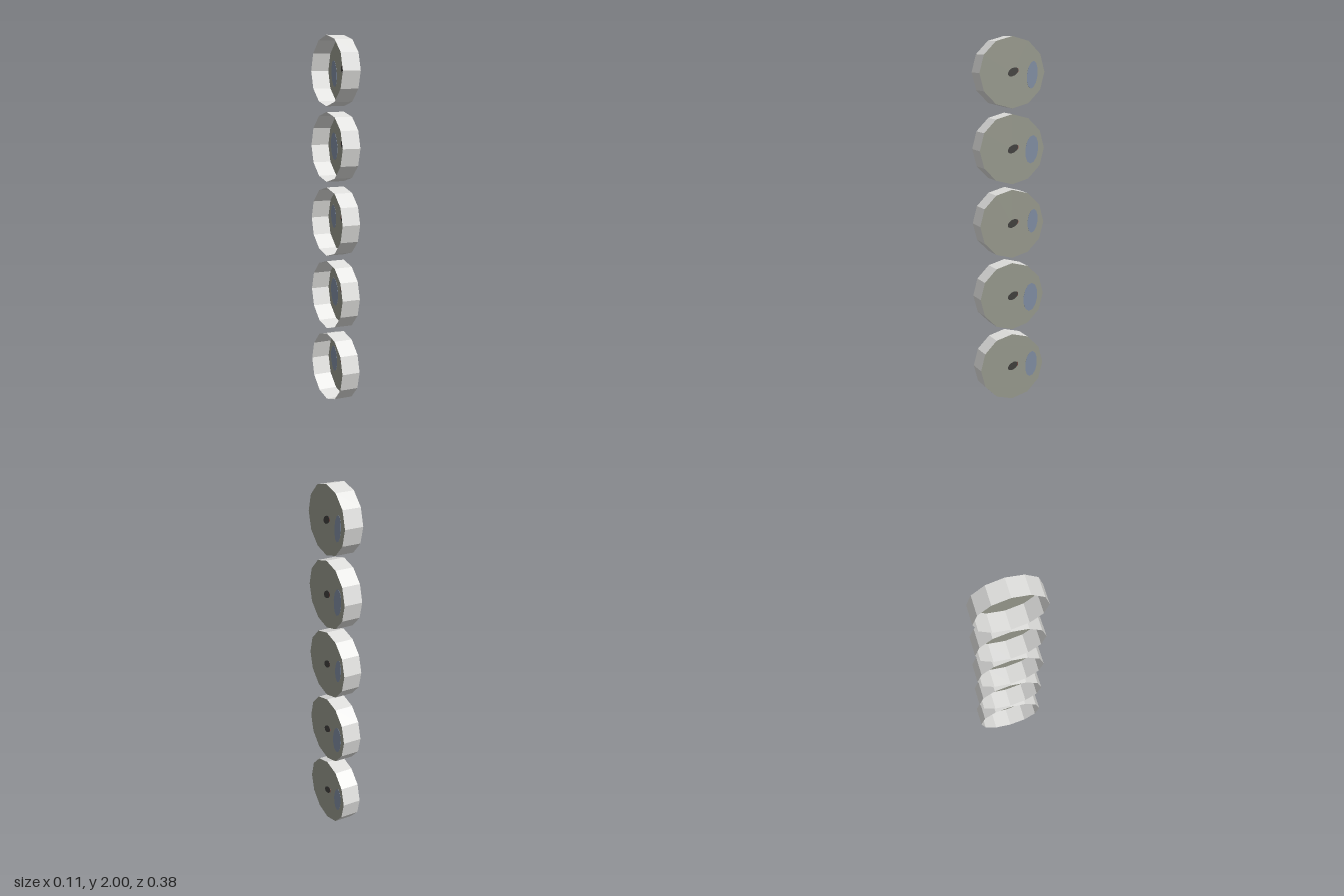
import * as THREE from 'three';

const R = 0.188, HALF = 0.0525, SPACING = 0.406;

function material(name, color) {
  const m = new THREE.MeshStandardMaterial({ color, flatShading: true, side: THREE.DoubleSide });
  m.name = name;
  return m;
}

export function createModel() {
  const wallMat = material('paleGrey', 0xdededc);
  const faceMat = material('greyGreen', 0x94968a);
  const blueMat = material('dustyBlue', 0x7d8a9f);
  const darkMat = material('charcoal', 0x3e3d3b);
  const redMat = material('dullRed', 0x8a4a44);

  const model = new THREE.Group();
  model.name = 'drumColumn';

  // Open twelve-sided rim and the flat face closing its +x end
  const rimGeo = new THREE.CylinderGeometry(R, R, HALF * 2, 12, 1, true).rotateZ(Math.PI / 2);
  const faceGeo = new THREE.CircleGeometry(R, 12).rotateY(Math.PI / 2).translate(HALF, 0, 0);

  function add(parent, name, geo, mat) {
    const mesh = new THREE.Mesh(geo, mat);
    mesh.name = name;
    parent.add(mesh);
    return mesh;
  }

  // Thin oval mark showing on both sides of the face
  function oval(parent, name, mat, y, z, halfY, halfZ, tilt, thick) {
    const geo = new THREE.CylinderGeometry(1, 1, thick, 12).rotateZ(Math.PI / 2).scale(1, halfY, halfZ);
    const mesh = add(parent, name, geo, mat);
    mesh.position.set(HALF, y, z);
    mesh.rotation.x = tilt;
  }

  // Blue patch on each drum, bottom to top: y, z, halfY, halfZ
  const patches = [
    [0.0, -0.117, 0.073, 0.036],
    [-0.016, -0.111, 0.08, 0.042],
    [0.008, -0.122, 0.066, 0.03],
    [-0.005, -0.115, 0.077, 0.038],
    [-0.014, -0.116, 0.073, 0.031],
  ];

  patches.forEach(([y, z, halfY, halfZ], i) => {
    const drum = new THREE.Group();
    drum.name = 'drum' + (i + 1);
    drum.position.y = R + i * SPACING;
    add(drum, 'rim', rimGeo, wallMat);
    add(drum, 'face', faceGeo, faceMat);
    oval(drum, 'bluePatch', blueMat, y, z, halfY, halfZ, -0.12, 0.002);
    oval(drum, 'centreMark', darkMat, 0.003, -0.004, 0.02, 0.033, 0.5, 0.003);
    oval(drum, 'redFleck', redMat, 0.011, -0.03, 0.013, 0.006, 0, 0.002);
    model.add(drum);
  });

  return model;
}
